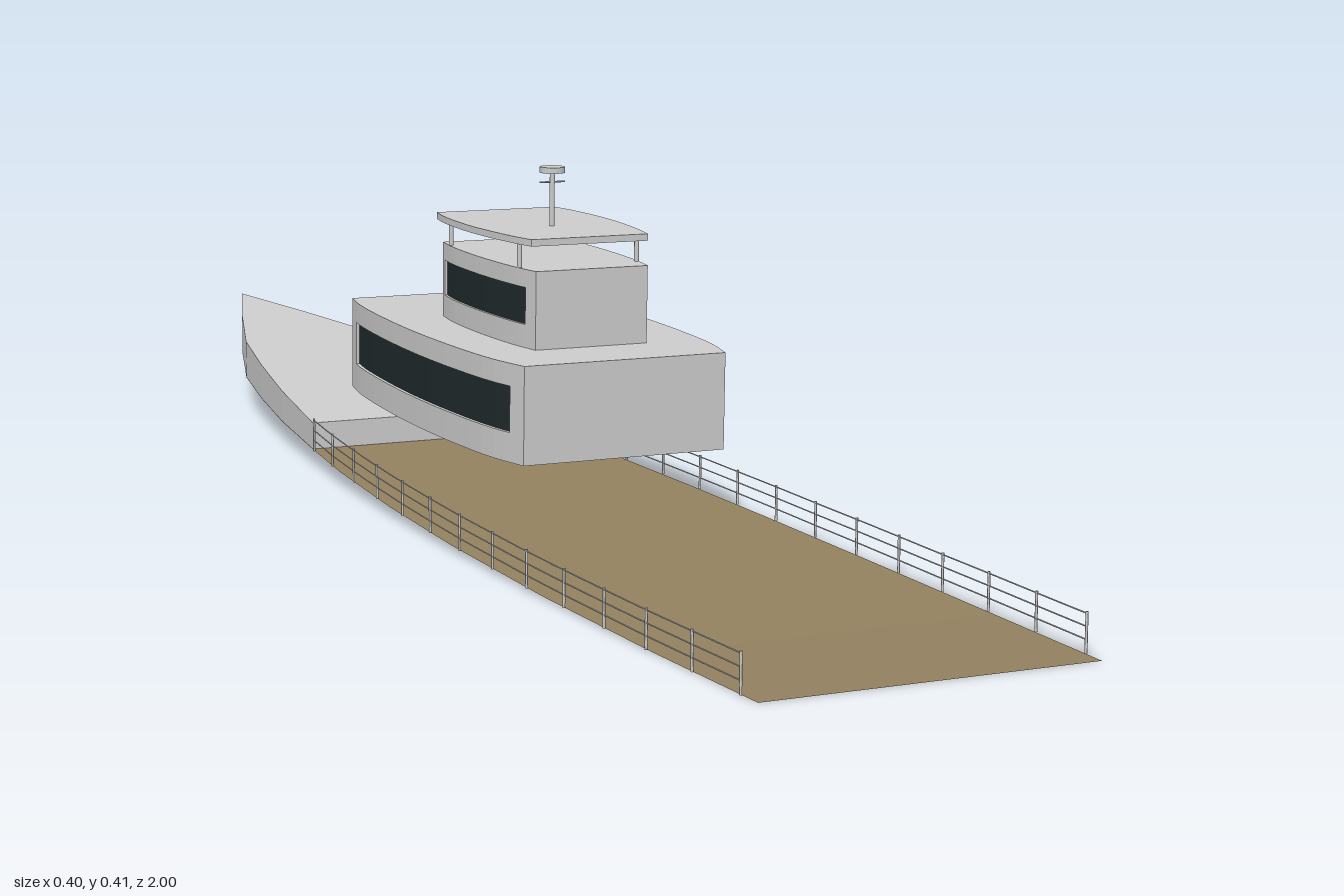
import * as THREE from 'three';

const paint = new THREE.MeshStandardMaterial({ color: 0xcccccc, side: THREE.DoubleSide });
const wood = new THREE.MeshStandardMaterial({ color: 0x92815f, side: THREE.DoubleSide });
const glass = new THREE.MeshStandardMaterial({ color: 0x1f292b, side: THREE.DoubleSide });
const metal = new THREE.MeshStandardMaterial({ color: 0xcccccc });

// Half-width of the deck at each z, stern (+z) to bow (-z)
const HULL = [[1, 0.188], [0.8, 0.195], [0.55, 0.2], [0.3, 0.199], [0.1, 0.193], [-0.1, 0.181],
  [-0.23, 0.168], [-0.4, 0.149], [-0.55, 0.126], [-0.69, 0.1], [-0.85, 0.051], [-1, 0]];
const sheer = z => 0.0155 * (1 - z) ** 2;

// Linear lookup in a table of descending z
function widthAt(table, z) {
  for (let i = 1; i < table.length; i++) {
    const [z0, w0] = table[i - 1], [z1, w1] = table[i];
    if (z >= z1) return w0 + (w1 - w0) * (z0 - z) / (z0 - z1);
  }
  return table[table.length - 1][1];
}

function add(parent, name, geometry, material) {
  const mesh = new THREE.Mesh(geometry, material);
  mesh.name = name;
  parent.add(mesh);
  return mesh;
}

// Flat-shaded surface through rows of equally many points
function loft(rows) {
  const pos = [];
  for (let i = 0; i + 1 < rows.length; i++) {
    for (let j = 0; j + 1 < rows[i].length; j++) {
      const a = rows[i][j], b = rows[i][j + 1], c = rows[i + 1][j + 1], d = rows[i + 1][j];
      pos.push(...a, ...b, ...c, ...a, ...c, ...d);
    }
  }
  const g = new THREE.BufferGeometry();
  g.setAttribute('position', new THREE.Float32BufferAttribute(pos, 3));
  g.computeVertexNormals();
  return g;
}

// Smoothed side of a plan: [z, halfWidth] pairs
function smoothSide(table, n = 18) {
  const curve = new THREE.CatmullRomCurve3(table.map(([z, w]) => new THREE.Vector3(w, 0, z)));
  return curve.getPoints(n).map(p => [p.z, p.x]);
}

// Slab with a mirrored plan between two heights
function slab(side, y0, y1) {
  const right = side.map(([z, w]) => new THREE.Vector2(w, -z));
  const left = side.map(([z, w]) => new THREE.Vector2(-w, -z)).reverse();
  const g = new THREE.ExtrudeGeometry(new THREE.Shape([...right, ...left]),
    { depth: y1 - y0, bevelEnabled: false });
  return g.rotateX(-Math.PI / 2).translate(0, y0, 0);
}

// Deckhouse: full slabs below and above a band with recessed side windows
function house(parent, name, table, [y0, y1], [wy0, wy1], [wz0, wz1], recess) {
  const group = new THREE.Group();
  group.name = name;
  parent.add(group);
  const side = smoothSide(table);
  const pane = [];
  for (let i = 0; i <= 14; i++) {
    const z = wz0 + (wz1 - wz0) * i / 14;
    pane.push([z, widthAt(side, z) - recess]);
  }
  const notched = [
    ...side.filter(([z]) => z > wz0), [wz0, widthAt(side, wz0)],
    ...pane,
    [wz1, widthAt(side, wz1)], ...side.filter(([z]) => z < wz1)];
  add(group, name + 'LowerWall', slab(side, y0, wy0), paint);
  add(group, name + 'WindowBand', slab(notched, wy0, wy1), paint);
  add(group, name + 'UpperWall', slab(side, wy1, y1), paint);
  for (const s of [1, -1]) {
    const rows = pane.map(([z, w]) => [[s * (w + 0.0008), wy0, z], [s * (w + 0.0008), wy1, z]]);
    add(group, name + (s > 0 ? 'LeftWindow' : 'RightWindow'),
      loft(s > 0 ? rows : rows.reverse()), glass);
  }
}

function rod(parent, name, radius, height, x, y, z, sides = 8) {
  const mesh = add(parent, name, new THREE.CylinderGeometry(radius, radius, height, sides), metal);
  mesh.position.set(x, y + height / 2, z);
  return mesh;
}

export function createModel() {
  const model = new THREE.Group();
  model.name = 'boat';

  // Thin curved deck
  add(model, 'deck', loft(HULL.map(([z, w]) => [[-w, sheer(z), z], [w, sheer(z), z]])
    .reverse()), wood);

  // Raised bow, tapering to a point
  const bowRows = HULL.filter(([z]) => z <= -0.23).map(([z, w]) => {
    const y = sheer(z) + 0.0005, top = 0.058 + 0.064 * (-0.23 - z) / 0.77;
    return [[-w, y, z], [-w, top, z], [w, top, z], [w, y, z]];
  });
  add(model, 'foredeck', loft(bowRows), paint);
  const [a, b, c, d] = bowRows[0];
  add(model, 'foredeckBulkhead', loft([[a, d], [b, c]]), paint);

  // Superstructure, pitched slightly with the sheer
  const top = new THREE.Group();
  top.name = 'superstructure';
  top.rotation.x = 0.02;
  model.add(top);

  house(top, 'mainCabin',
    [[0.335, 0.126], [0.28, 0.139], [0.2, 0.147], [0.08, 0.151], [-0.04, 0.147], [-0.14, 0.138], [-0.197, 0.127]],
    [0.105, 0.218], [0.139, 0.192], [0.31, -0.165], 0.005);
  house(top, 'wheelhouse',
    [[0.243, 0.071], [0.2, 0.078], [0.11, 0.083], [0.02, 0.08], [-0.028, 0.073]],
    [0.217, 0.309], [0.245, 0.288], [0.222, -0.018], 0.004);

  // Flat canopy on four posts
  add(top, 'canopy', slab(smoothSide(
    [[0.236, 0.074], [0.19, 0.083], [0.1, 0.091], [0.01, 0.087], [-0.034, 0.079]]), 0.337, 0.345), paint);
  for (const x of [-0.075, 0.075]) {
    for (const z of [0.205, 0.002]) rod(top, 'canopyPost', 0.003, 0.031, x, 0.307, z);
  }

  // Mast with a crossbar and a disc on top
  rod(top, 'mast', 0.003, 0.066, 0, 0.344, 0.13, 12);
  rod(top, 'mastDisc', 0.015, 0.007, 0, 0.408, 0.13, 20);
  rod(top, 'mastCrossbar', 0.001, 0.032, 0, 0.381, 0.13).rotation.z = Math.PI / 2;

  // Railings on both sides of the open deck
  const posts = 14;
  for (const s of [1, -1]) {
    const rail = new THREE.Group();
    rail.name = s > 0 ? 'leftRailing' : 'rightRailing';
    model.add(rail);
    const feet = [];
    for (let i = 0; i < posts; i++) {
      const z = 0.97 - 1.19 * i / (posts - 1);
      const x = s * (widthAt(HULL, z) + 0.001);
      feet.push(new THREE.Vector3(x, sheer(z), z));
      rod(rail, 'railPost', 0.0015, 0.042, x, sheer(z), z, 6);
    }
    for (const h of [0.014, 0.027, 0.04]) {
      const path = new THREE.CatmullRomCurve3(feet.map(p => p.clone().setY(p.y + h)));
      add(rail, 'railWire', new THREE.TubeGeometry(path, 40, 0.0008, 5), metal);
    }
  }
  return model;
}
